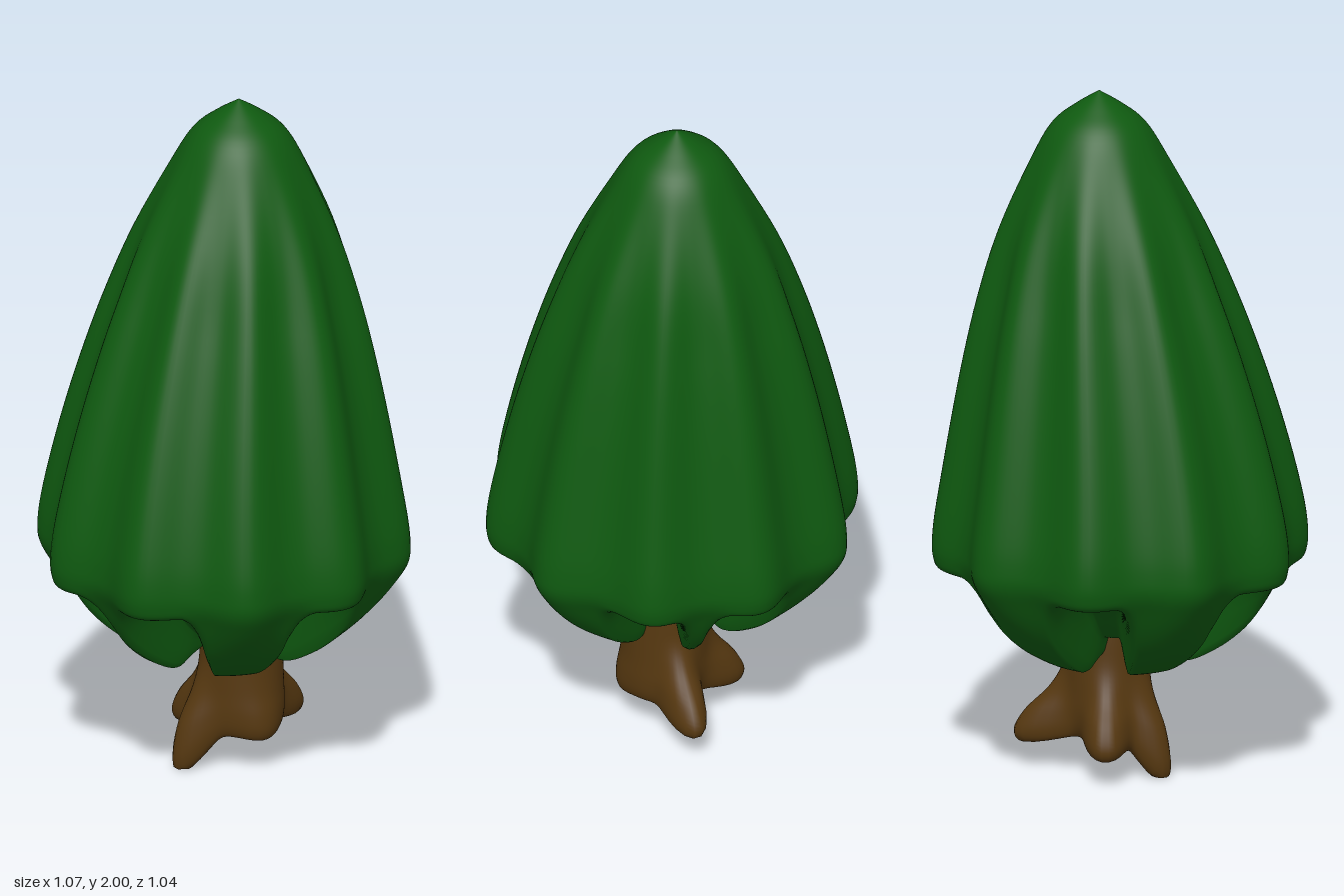
import * as THREE from 'three';

const rad = THREE.MathUtils.degToRad;
const smooth = THREE.MathUtils.smoothstep;

// Smallest angle between two directions
const gap = (a, b) => Math.abs(Math.atan2(Math.sin(a - b), Math.cos(a - b)));

// Closed surface swept around y: rows run from top to bottom, columns wrap round
function ringSurface(rows, cols, place) {
  const pos = [], index = [];
  for (let i = 0; i <= rows; i++) {
    for (let j = 0; j < cols; j++) {
      pos.push(...place(i / rows, (j / cols) * Math.PI * 2));
      if (i === rows) continue;
      const a = i * cols + j, b = i * cols + ((j + 1) % cols);
      index.push(a, b, a + cols, b, b + cols, a + cols);
    }
  }
  const geo = new THREE.BufferGeometry();
  geo.setAttribute('position', new THREE.Float32BufferAttribute(pos, 3));
  geo.setIndex(index);
  geo.computeVertexNormals();
  return geo;
}

const profile = (pts) => new THREE.SplineCurve(pts.map(([r, y]) => new THREE.Vector2(r, y)));

// Crown outline shared by all directions, then two ways of ending below
const upper = [
  [0, 2], [0.07, 1.955], [0.135, 1.9], [0.195, 1.8], [0.295, 1.6], [0.37, 1.4],
  [0.43, 1.2], [0.48, 1.0], [0.522, 0.8], [0.535, 0.7],
];
const tongueProfile = profile([...upper,
  [0.53, 0.64], [0.495, 0.58], [0.44, 0.51], [0.37, 0.44], [0.28, 0.375], [0.19, 0.335], [0.12, 0.36], [0, 0.4]]);
const hollowProfile = profile([...upper,
  [0.532, 0.645], [0.515, 0.612], [0.46, 0.6], [0.36, 0.59], [0.25, 0.54], [0.17, 0.46], [0.11, 0.42], [0, 0.42]]);

// Ten ridges; six of them overhang a hollow
const hollows = [2, 71, 113, 182, 252, 294].map(rad);

function crownPoint(t, a) {
  const distance = Math.min(...hollows.map((h) => gap(a, h)));
  const w = 1 - smooth(distance, rad(10), rad(19));
  const p = tongueProfile.getPoint(t).lerp(hollowProfile.getPoint(t), w);
  const ridge = Math.pow(0.5 + 0.5 * Math.cos(10 * (a - rad(2))), 1.2);
  const depth = 0.095 * smooth(2 - p.y, 0.05, 0.6) * smooth(p.y, 0.34, 0.62);
  const r = p.x * (1 - depth * (1 - ridge));
  const lean = -0.06 * smooth(p.y, 0.7, 1.9);
  return [r * Math.cos(a), p.y, r * Math.sin(a) + lean];
}

// Roots: direction, reach beyond the trunk, drop of the tip, half-width
const roots = [
  { x: -0.08, z: 0.18, reach: 0.09, drop: 0.125, width: 0.38 },
  { x: -0.23, z: 0.03, reach: 0.12, drop: 0.035, width: 0.4 },
  { x: -0.03, z: -0.25, reach: 0.15, drop: 0.035, width: 0.34 },
  { x: 0.12, z: 0.03, reach: 0.02, drop: 0.01, width: 0.5 },
];
// Each step: trunk radius, root spread, height, share of the tip drop
const trunkSteps = [
  [0.11, 0, 0.48, 0], [0.115, 0, 0.4, 0], [0.118, 0.05, 0.31, 0], [0.12, 0.3, 0.24, 0.1],
  [0.122, 0.75, 0.18, 0.4], [0.118, 1, 0.135, 0.85], [0.105, 0.92, 0.108, 1], [0.08, 0.5, 0.108, 0.65],
  [0.05, 0.15, 0.115, 0.2], [0, 0, 0.12, 0],
];
const trunkSize = profile(trunkSteps.map((s) => [s[0], s[2]]));
const trunkSpread = profile(trunkSteps.map((s) => [s[1], s[3]]));

function trunkPoint(t, a) {
  const size = trunkSize.getPoint(t), spread = trunkSpread.getPoint(t);
  let r = size.x, y = size.y;
  for (const root of roots) {
    const lobe = Math.exp(-((gap(a, Math.atan2(root.z, root.x)) / root.width) ** 2));
    r += lobe * root.reach * spread.x;
    y -= lobe * root.drop * spread.y;
  }
  return [0.03 + r * Math.cos(a), Math.max(0, y), -0.04 + r * Math.sin(a)];
}

export function createModel() {
  const leafGreen = new THREE.MeshStandardMaterial({ name: 'leaf green', color: 0x0f5a10 });
  const barkBrown = new THREE.MeshStandardMaterial({ name: 'bark brown', color: 0x563810 });

  const crown = new THREE.Mesh(ringSurface(85, 180, crownPoint), leafGreen);
  crown.name = 'crown';
  const trunk = new THREE.Mesh(ringSurface(45, 72, trunkPoint), barkBrown);
  trunk.name = 'trunkWithRoots';

  const tree = new THREE.Group();
  tree.name = 'tree';
  tree.add(crown, trunk);
  return tree;
}
